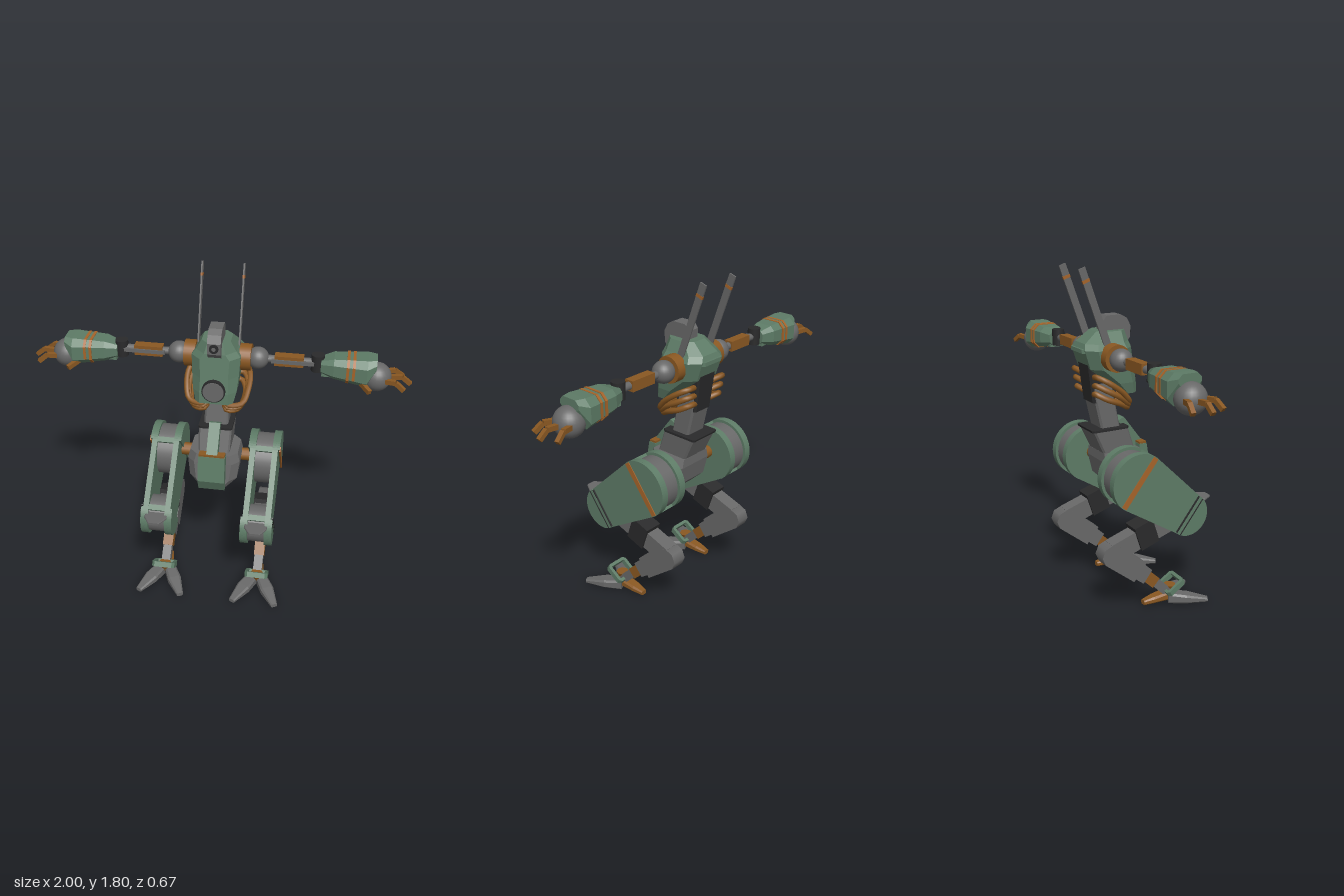
import * as THREE from 'three';

const material = (name, color) => Object.assign(new THREE.MeshStandardMaterial({ color }), { name });
const green = material('armour green', 0x5d7b66);
const grey = material('frame grey', 0x686868);
const dark = material('joint black', 0x2a2a2b);
const orange = material('rust orange', 0x8a5822);
const stripe = material('stripe orange', 0xa5642a);

function add(group, name, geometry, mat, x = 0, y = 0, z = 0) {
  const mesh = new THREE.Mesh(geometry, mat);
  mesh.name = name;
  mesh.position.set(x, y, z);
  group.add(mesh);
  return mesh;
}

// Chamfered cross-sections stacked along y: [y, half width, front z, back z, chamfer, x offset]
function loft(sections) {
  const pos = [], idx = [], n = 8;
  for (const [y, w, f, b, c = 0.01, o = 0] of sections) {
    const ring = [[w, b + c], [w, f - c], [w - c, f], [c - w, f], [-w, f - c], [-w, b + c], [c - w, b], [w - c, b]];
    for (const [x, z] of ring) pos.push(x + o, y, z);
  }
  const top = (sections.length - 1) * n;
  for (let s = 0; s < top; s += n) {
    for (let i = 0; i < n; i++) {
      const j = (i + 1) % n;
      idx.push(s + i, s + n + i, s + j, s + j, s + n + i, s + n + j);
    }
  }
  for (let i = 1; i < n - 1; i++) idx.push(0, i, i + 1, top, top + i + 1, top + i);
  const g = new THREE.BufferGeometry();
  g.setAttribute('position', new THREE.Float32BufferAttribute(pos, 3));
  g.setIndex(idx);
  const flat = g.toNonIndexed();
  flat.computeVertexNormals();
  return flat;
}
const loftZ = (sections) => loft(sections).rotateX(Math.PI / 2); // y -> z
const loftX = (sections) => loft(sections).rotateZ(-Math.PI / 2); // y -> x

const vectors = (points) => points.map(p => new THREE.Vector2(...p));
const polygon = (points) => new THREE.Shape(vectors(points));

// Shape in (z, y), extruded sideways about x = 0
function slab(shape, width) {
  return new THREE.ExtrudeGeometry(shape, { depth: width, bevelEnabled: false, curveSegments: 20 })
    .translate(0, 0, -width / 2).rotateY(-Math.PI / 2);
}

// Box beam between two points, given as [x, y, z]
function beam(group, name, a, b, width, thick, mat) {
  const p = new THREE.Vector3(...a), q = new THREE.Vector3(...b);
  const mesh = add(group, name, new THREE.BoxGeometry(width, thick, p.distanceTo(q)), mat);
  mesh.position.copy(p).lerp(q, 0.5);
  // Aim in the group's own frame
  mesh.quaternion.setFromRotationMatrix(new THREE.Matrix4().lookAt(q, p, new THREE.Vector3(0, 1, 0)));
}
const drumX = (r, w, sides = 24) => new THREE.CylinderGeometry(r, r, w, sides).rotateZ(Math.PI / 2);
const drumZ = (r, w, sides = 24) => new THREE.CylinderGeometry(r, r, w, sides).rotateX(Math.PI / 2);
function tube(group, name, points, r, mat) {
  const curve = new THREE.CatmullRomCurve3(points.map(p => new THREE.Vector3(...p)));
  add(group, name, new THREE.TubeGeometry(curve, 20, r, 8), mat);
}

function buildBody() {
  const g = new THREE.Group();
  g.name = 'body';
  // Pelvis and waist
  add(g, 'pelvis', loft([[0.63, 0.07, 0.06, -0.12, 0.02], [0.68, 0.13, 0.05, -0.17, 0.04], [0.78, 0.142, 0.035, -0.19, 0.04], [0.83, 0.13, 0.025, -0.19, 0.04]]), grey);
  add(g, 'waist', loft([[0.82, 0.085, 0, -0.185], [0.95, 0.09, -0.045, -0.245]]), grey);
  add(g, 'waistRim', loft([[0.95, 0.092, -0.043, -0.255], [0.962, 0.092, -0.043, -0.258]]), dark);
  add(g, 'spine', loft([[0.955, 0.065, -0.08, -0.19], [1.15, 0.065, -0.12, -0.235], [1.25, 0.06, -0.12, -0.24]]), grey);
  add(g, 'backPanel', loft([[1.1, 0.06, -0.12, -0.235], [1.3, 0.065, -0.12, -0.262]]), dark);
  add(g, 'hipPlate', slab(polygon([[0.03, 0.845], [0.03, 0.65], [0.07, 0.632], [0.1, 0.7], [0.075, 0.845]]), 0.145), green);
  add(g, 'hipPlateTrim', new THREE.BoxGeometry(0.14, 0.012, 0.04), orange, 0, 0.85, 0.052);
  add(g, 'bellyPlate', slab(polygon([[0.02, 0.82], [0.07, 0.85], [-0.04, 0.995], [-0.075, 0.98]]), 0.06), green);
  add(g, 'hipAxle', drumX(0.035, 0.42, 12), orange, 0, 0.755, -0.12);
  // Chest
  add(g, 'chest', loft([[1.14, 0.1, 0.008, -0.08, 0.025], [1.2, 0.115, 0.005, -0.15, 0.04], [1.28, 0.122, -0.008, -0.255, 0.05],
    [1.38, 0.127, -0.025, -0.288, 0.05], [1.41, 0.105, -0.03, -0.275, 0.05], [1.465, 0.075, -0.045, -0.205, 0.035]]), green);
  add(g, 'chestRidge', loft([[1.365, 0.1, -0.08, -0.297, 0.04], [1.385, 0.1, -0.08, -0.297, 0.04]]), green);
  add(g, 'chestPort', drumZ(0.062, 0.03), dark, 0, 1.215, 0);
  add(g, 'chestPortCover', drumZ(0.055, 0.036), grey, 0, 1.215, 0.002);
  // Head
  add(g, 'head', slab(polygon([[-0.03, 1.39], [-0.006, 1.42], [-0.004, 1.48], [-0.025, 1.52], [-0.06, 1.54], [-0.14, 1.54], [-0.165, 1.51], [-0.16, 1.43]]), 0.07), grey);
  add(g, 'eyeRing', drumZ(0.024, 0.02, 16), dark, 0, 1.455, -0.006);
  add(g, 'eye', drumZ(0.011, 0.024, 12), grey, 0, 1.455, -0.006);
  for (const s of [1, -1]) {
    // Antennae
    const x = s * 0.108;
    beam(g, 'antenna', [x, 1.4, -0.175], [x, 1.79, -0.315], 0.008, 0.038, grey);
    beam(g, 'antennaBand', [x, 1.72, -0.29], [x, 1.735, -0.2954], 0.01, 0.04, stripe);
    // Rib hoses
    for (let i = 0; i < 3; i++) {
      const d = i * 0.045, w = 0.165 - i * 0.012;
      tube(g, 'ribHose', [[s * 0.05, 1.235 - d, -0.225], [s * (w - 0.03), 1.25 - d, -0.245], [s * w, 1.225 - d, -0.2],
        [s * w, 1.165 - d * 0.7, -0.12], [s * (w - 0.025), 1.11 - d * 0.4, -0.07], [s * 0.06, 1.105 - d * 0.35, -0.055], [s * 0.04, 1.14 - d * 0.35, -0.1]], 0.015, orange);
    }
  }
  return g;
}

function buildArm() {
  const g = new THREE.Group(), y = 1.345, z = -0.155;
  g.name = 'arm';
  add(g, 'shoulderCollar', drumX(0.07, 0.06), orange, 0.145, y, z);
  add(g, 'shoulderBall', new THREE.SphereGeometry(0.058, 24, 16), grey, 0.208, y, z);
  add(g, 'upperArmRod', drumX(0.02, 0.26, 12), grey, 0.37, y, z);
  add(g, 'upperArmSleeve', new THREE.BoxGeometry(0.15, 0.055, 0.05), orange, 0.37, y, z);
  add(g, 'upperArmRail', new THREE.BoxGeometry(0.22, 0.02, 0.016), grey, 0.39, y, z + 0.024);
  add(g, 'elbow', new THREE.CylinderGeometry(0.034, 0.034, 0.09, 16), dark, 0.517, y, z);
  // Flared forearm with two stripes
  add(g, 'forearm', loftX([[0.535, 0.035, -0.11, -0.2, 0.015, -1.335], [0.6, 0.055, -0.088, -0.23, 0.025, -1.335],
    [0.77, 0.075, -0.07, -0.245, 0.035, -1.325], [0.815, 0.03, -0.095, -0.215, 0.02, -1.37]]), green);
  add(g, 'forearmFin', new THREE.BoxGeometry(0.05, 0.025, 0.08), green, 0.565, 1.298, z);
  for (const x of [0.665, 0.695]) {
    add(g, 'forearmStripe', loftX([[x, 0.066, -0.077, -0.242, 0.03, -1.331], [x + 0.014, 0.068, -0.076, -0.243, 0.031, -1.33]]), stripe);
  }
  // Hand
  add(g, 'handBall', new THREE.SphereGeometry(0.076, 24, 16), grey, 0.82, 1.29, z);
  for (const [z0, z1, x0] of [[-0.2, -0.235, 0.83], [-0.157, -0.157, 0.865], [-0.115, -0.08, 0.83]]) {
    const end = [x0 + 0.13, 1.262, z1], mid = [x0 + 0.085, 1.297, z0 + (z1 - z0) * 0.7];
    beam(g, 'finger', [x0, 1.29, z0], mid, 0.022, 0.024, orange);
    beam(g, 'fingerTip', mid, end, 0.022, 0.022, orange);
  }
  beam(g, 'thumb', [0.745, 1.275, -0.1], [0.79, 1.255, -0.045], 0.022, 0.024, orange);
  return g;
}

function buildLeg() {
  const g = new THREE.Group();
  g.name = 'leg';
  g.position.x = 0.27;
  // Thigh: two tapered plates around hip and knee drums
  const hip = { z: -0.127, y: 0.74, r: 0.155 }, knee = { z: 0.168, y: 0.51, r: 0.115 };
  const dz = knee.z - hip.z, dy = knee.y - hip.y;
  const a = Math.atan2(dy, dz), phi = Math.acos((hip.r - knee.r) / Math.hypot(dz, dy));
  const plate = new THREE.Shape();
  plate.absarc(knee.z, knee.y, knee.r, a - phi, a + phi);
  plate.absarc(hip.z, hip.y, hip.r, a + phi, a + 2 * Math.PI - phi);
  plate.closePath();
  const cap = (j, from) => {
    const s = new THREE.Shape();
    s.absarc(j.z, j.y, j.r, from, from + Math.PI);
    s.closePath();
    return s;
  };
  for (const s of [1, -1]) {
    add(g, 'thighPlate', slab(plate, 0.03), green, s * 0.06);
    add(g, 'hipCap', slab(cap(hip, a + Math.PI / 2), 0.03), green, s * 0.07);
    add(g, 'kneeCap', slab(cap(knee, a - Math.PI / 2), 0.03), green, s * 0.07);
  }
  for (const [name, j] of [['hip', hip], ['knee', knee]]) {
    add(g, name + 'Drum', drumX(j.r - 0.015, 0.1, 32), grey, 0, j.y, j.z);
    for (const s of [1, -1]) {
      const t = a + s * Math.PI / 2, r = j.r - 0.012;
      add(g, name + 'Crossbar', new THREE.BoxGeometry(0.15, 0.022, 0.03), green, 0, j.y + Math.sin(t) * r, j.z + Math.cos(t) * r).rotation.x = -a;
    }
  }
  // Outer trim across the thigh ends
  const trim = (name, j, along, thick, x, mat) => {
    const c = [j.z + Math.cos(a) * along, j.y + Math.sin(a) * along], n = [-Math.sin(a) * j.r * 0.97, Math.cos(a) * j.r * 0.97];
    beam(g, name, [x, c[1] + n[1], c[0] + n[0]], [x, c[1] - n[1], c[0] - n[0]], 0.008, thick, mat);
  };
  trim('hipStripe', hip, -0.005, 0.03, 0.085, stripe);
  trim('kneeSeam', knee, -0.008, 0.006, 0.083, dark);
  trim('kneeSeam', knee, 0.02, 0.006, 0.083, dark);
  add(g, 'kneeSpike', loftZ([[0.17, 0.06, 0, -0.014, 0.004], [0.285, 0.06, 0, -0.014, 0.004], [0.338, 0.028, 0, -0.014, 0.004]]), grey, 0, 0.558);
  // Backward-bent shin
  beam(g, 'upperShin', [0, 0.485, 0.12], [0, 0.365, -0.25], 0.078, 0.105, grey);
  beam(g, 'shinSleeve', [0, 0.452, -0.012], [0, 0.417, -0.118], 0.1, 0.135, dark);
  add(g, 'hock', drumX(0.06, 0.08, 8), grey, 0, 0.355, -0.262);
  beam(g, 'lowerShin', [0, 0.355, -0.262], [0, 0.225, -0.1], 0.08, 0.118, grey);
  beam(g, 'shinNeck', [0, 0.24, -0.12], [0, 0.185, -0.05], 0.068, 0.085, grey);
  beam(g, 'shinBand', [0, 0.185, -0.05], [0, 0.132, 0.005], 0.058, 0.062, orange);
  beam(g, 'ankle', [0, 0.14, 0], [0, 0.05, 0.09], 0.05, 0.05, grey);
  // Ankle guard hoop
  const hoop = polygon([[-0.05, -0.06], [0.05, -0.06], [0.065, -0.045], [0.065, 0.045], [0.05, 0.06], [-0.05, 0.06], [-0.065, 0.045], [-0.065, -0.045]]);
  hoop.holes.push(new THREE.Path(vectors([[-0.047, -0.042], [-0.047, 0.042], [0.047, 0.042], [0.047, -0.042]])));
  add(g, 'ankleHoop', new THREE.ExtrudeGeometry(hoop, { depth: 0.03, bevelEnabled: false }).translate(0, 0, -0.015), green, 0, 0.09, 0.115).rotation.x = 1.0;
  // Foot
  for (const s of [1, -1]) {
    add(g, 'toe', loftZ([[0, 0.032, 0, -0.06], [0.1, 0.038, 0, -0.048], [0.215, 0.018, 0, -0.022, 0.006]]), grey, s * 0.022, 0, 0.085).rotation.y = s * 0.48;
  }
  add(g, 'heel', loftZ([[0, 0.035, -0.01, -0.06], [0.1, 0.03, -0.01, -0.048], [0.16, 0.018, -0.01, -0.036, 0.006]]), orange, 0, 0, 0.1).rotation.y = Math.PI;
  add(g, 'anklePin', new THREE.CylinderGeometry(0.035, 0.012, 0.06, 8), orange, 0, 0.06, 0.105);
  return g;
}

export function createModel() {
  const model = new THREE.Group();
  model.name = 'walkerRobot';
  model.add(buildBody());
  for (const [side, s] of [['left', 1], ['right', -1]]) {
    const limbs = new THREE.Group();
    limbs.name = side + 'Limbs';
    limbs.add(buildArm(), buildLeg());
    limbs.scale.x = s;
    model.add(limbs);
  }
  return model;
}
